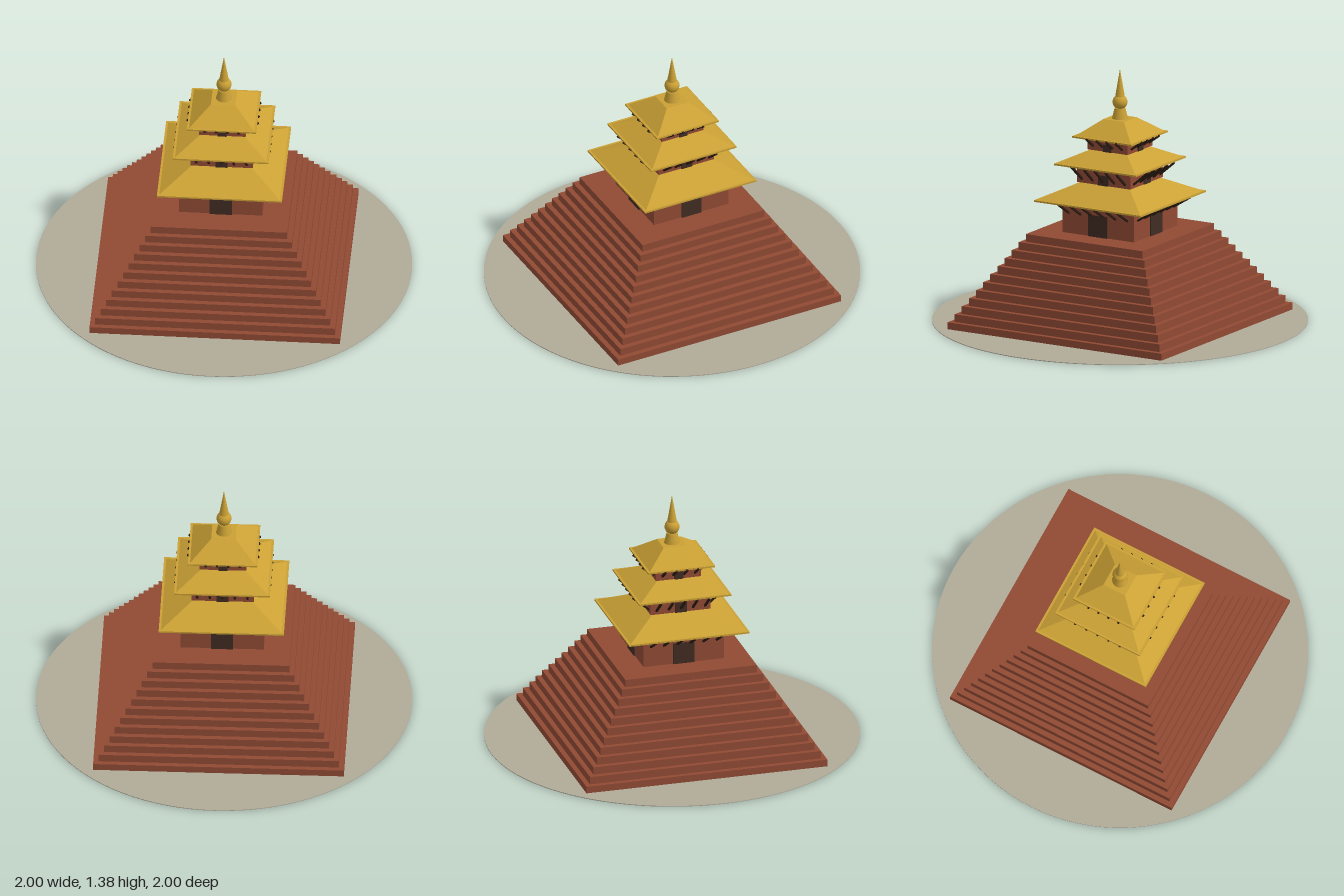
import * as THREE from 'three';

const mat = (name, color) => {
  const m = new THREE.MeshStandardMaterial({ color });
  m.name = name;
  return m;
};

export function createModel() {
  const brick = mat('red brick', 0x914a34);
  const gold = mat('gilded roof', 0xcba135);
  const doorWood = mat('door wood', 0x402c22);
  const strutWood = mat('dark strut wood', 0x2c1c12);
  const stone = mat('ground stone', 0xb0aa98);

  const temple = new THREE.Group();
  temple.name = 'temple';

  const add = (parent, name, geometry, material, x = 0, y = 0, z = 0) => {
    const mesh = new THREE.Mesh(geometry, material);
    mesh.name = name;
    mesh.position.set(x, y, z);
    parent.add(mesh);
    return mesh;
  };
  // Square block given by half width and vertical extent
  const block = (parent, name, half, y0, y1, material) =>
    add(parent, name, new THREE.BoxGeometry(half * 2, y1 - y0, half * 2), material, 0, (y0 + y1) / 2, 0);
  // Square frustum aligned with the axes
  const frustum = (half0, half1, height) => {
    const g = new THREE.CylinderGeometry(half1 * Math.SQRT2, half0 * Math.SQRT2, height, 4)
      .rotateY(Math.PI / 4).toNonIndexed();
    g.computeVertexNormals();
    return g;
  };

  // Ground disc
  add(temple, 'groundDisc', new THREE.CylinderGeometry(1, 1, 0.004, 96), stone, 0, 0.002, 0);

  // Stepped plinth
  const steps = 12, rise = 0.5 / steps;
  for (let i = 0; i < steps; i++) {
    const half = 0.667 - (0.667 - 0.364) * i / (steps - 1);
    block(temple, 'plinthStep', half, i * rise + (i ? 0 : 0.001), (i + 1) * rise, brick);
  }

  // Storeys: wall, door, struts, roof
  const tiers = [
    { wall: 0.222, y0: 0.5, eaveY: 0.674, eave: 0.333, topY: 0.77, top: 0.152,
      door: [0.118, 0.117], struts: 6, spacing: 0.073, foot: 0.61, tip: [0.325, 0.674] },
    { wall: 0.166, y0: 0.77, eaveY: 0.868, eave: 0.255, topY: 0.945, top: 0.11,
      door: [0.064, 0.055], struts: 5, spacing: 0.067, foot: 0.79, tip: [0.256, 0.866] },
    { wall: 0.125, y0: 0.945, eaveY: 1.013, eave: 0.185, topY: 1.105, top: 0.065,
      door: [0.048, 0.04], struts: 4, spacing: 0.06, foot: 0.968, tip: [0.19, 1.015] },
  ];
  const lip = 0.009;
  for (const t of tiers) {
    const storey = new THREE.Group();
    storey.name = 'storey';
    temple.add(storey);
    block(storey, 'wall', t.wall, t.y0, t.eaveY + 0.002, brick);
    block(storey, 'eaveEdge', t.eave, t.eaveY, t.eaveY + lip, gold);
    const h = t.topY - t.eaveY - lip;
    add(storey, 'roof', frustum(t.eave - 0.012, t.top, h), gold, 0, t.eaveY + lip + h / 2, 0);

    // The same door and slanted struts on each of the four sides
    const run = t.tip[0] - t.wall, lift = t.tip[1] - t.foot;
    for (let s = 0; s < 4; s++) {
      const side = new THREE.Group();
      side.name = 'storeySide';
      side.rotation.y = s * Math.PI / 2;
      storey.add(side);
      add(side, 'door', new THREE.BoxGeometry(t.door[0], t.door[1], 0.008), doorWood,
        0, t.y0 + t.door[1] / 2, t.wall + 0.003);
      for (let i = 0; i < t.struts; i++) {
        const strut = add(side, 'roofStrut',
          new THREE.BoxGeometry(0.01, 0.01, Math.hypot(run, lift)), strutWood,
          (i - (t.struts - 1) / 2) * t.spacing, t.foot + lift / 2, t.wall + run / 2);
        strut.rotation.x = -Math.atan2(lift, run);
      }
    }
  }

  // Gilded finial
  const finial = new THREE.Group();
  finial.name = 'finial';
  temple.add(finial);
  add(finial, 'finialBase', new THREE.CylinderGeometry(0.029, 0.043, 0.058, 24), gold, 0, 1.132, 0);
  add(finial, 'finialBall', new THREE.SphereGeometry(0.04, 24, 16), gold, 0, 1.195, 0);
  add(finial, 'finialSpire', new THREE.ConeGeometry(0.026, 0.152, 24), gold, 0, 1.299, 0);

  return temple;
}
